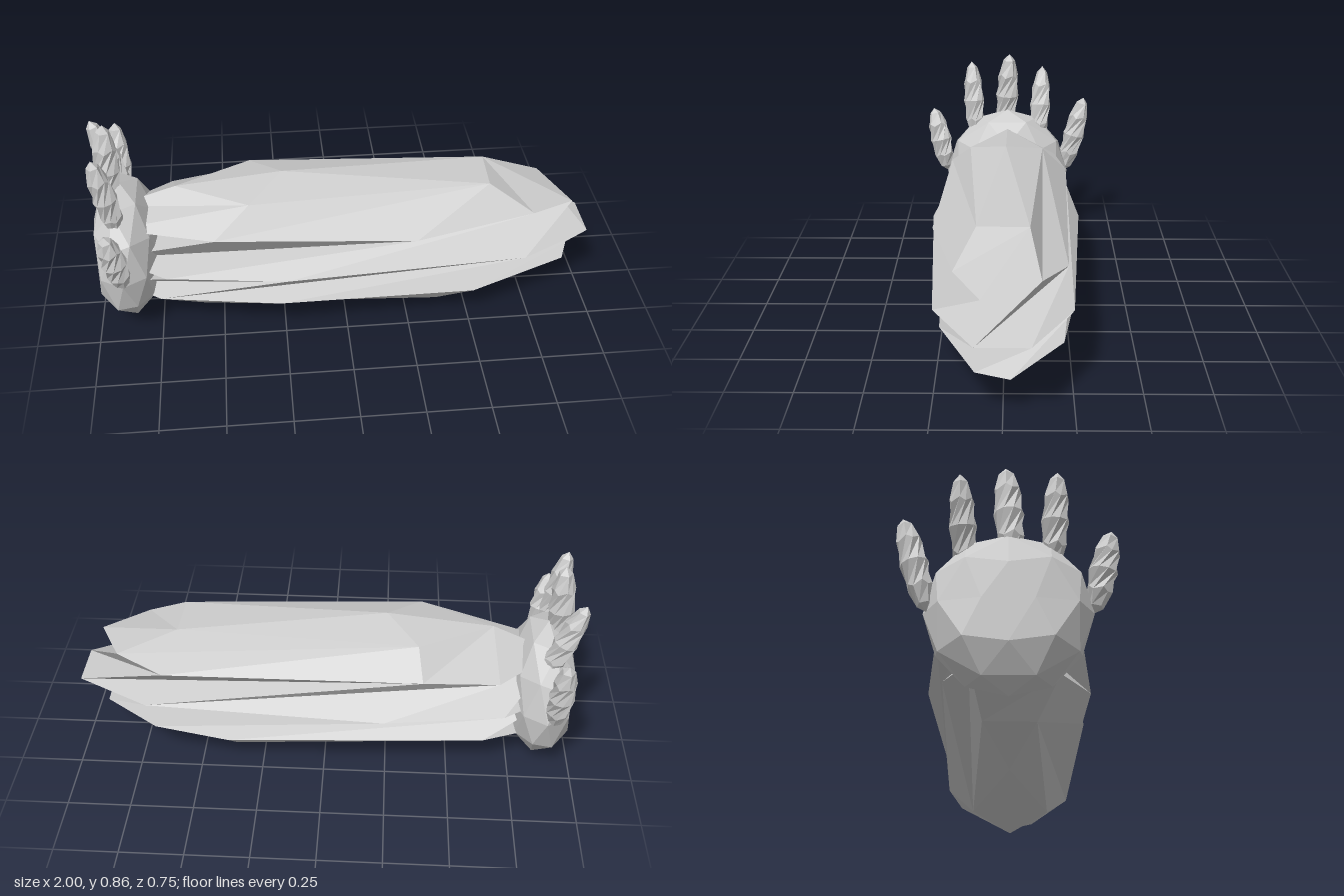
import * as THREE from 'three';

const material = new THREE.MeshStandardMaterial({ color: 0xcccccc, flatShading: true });

// Low-poly ball with a pole up, twisted around y, then each corner passed through a rule
function twistedBall(twist, offset, rule) {
  const geometry = new THREE.IcosahedronGeometry(1, 1);
  geometry.rotateZ(-Math.atan(2 / (1 + Math.sqrt(5))));
  geometry.rotateY(Math.PI);
  const pos = geometry.attributes.position;
  const v = new THREE.Vector3();
  for (let i = 0; i < pos.count; i++) {
    v.fromBufferAttribute(pos, i);
    const a = THREE.MathUtils.degToRad(offset + twist * v.y);
    v.set(
      v.x * Math.cos(a) - v.z * Math.sin(a),
      v.y,
      v.x * Math.sin(a) + v.z * Math.cos(a)
    );
    rule(v);
    pos.setXYZ(i, v.x, v.y, v.z);
  }
  geometry.computeVertexNormals();
  return geometry;
}

function addMesh(group, name, geometry) {
  const mesh = new THREE.Mesh(geometry, material);
  mesh.name = name;
  group.add(mesh);
  return mesh;
}

export function createModel() {
  const model = new THREE.Group();
  model.name = 'pawLimb';

  // Long limb: a twisted ball whose +x half is pulled outward
  addMesh(model, 'limb', twistedBall(-126, -108, (v) => {
    const pull = v.x > 0.01 ? 0.48 : 0;
    v.set(Math.max(-0.24 + 0.8 * v.x + pull, -0.94), 0.309 + 0.309 * v.y, 0.31 * v.z);
  }));

  // Palm: upright disc-like ball, flattened on its outer face
  addMesh(model, 'palm', twistedBall(0, 0, (v) => {
    v.set(Math.max(-0.875 + 0.15 * v.x, -0.99), 0.305 + 0.3 * v.y, 0.285 * v.z);
  }));

  // Fingers: tip and base positions with radius
  const fingers = [
    ['thumb', [-0.91, 0.602, 0.348], [-0.87, 0.31, 0.285], 0.05],
    ['firstFinger', [-0.945, 0.82, 0.168], [-0.88, 0.46, 0.148], 0.048],
    ['middleFinger', [-0.91, 0.863, -0.01], [-0.92, 0.47, 0.012], 0.053],
    ['ringFinger', [-0.98, 0.79, -0.165], [-0.86, 0.44, -0.145], 0.048],
    ['littleFinger', [-0.91, 0.655, -0.36], [-0.9, 0.3, -0.272], 0.05],
  ];
  const up = new THREE.Vector3(0, 1, 0);
  for (const [name, tipAt, baseAt, radius] of fingers) {
    const tip = new THREE.Vector3(...tipAt);
    const base = new THREE.Vector3(...baseAt);
    const half = tip.distanceTo(base) / 2;
    const finger = addMesh(model, name, twistedBall(-126, -108, (v) => {
      v.set(v.x * radius, v.y * half, v.z * radius);
    }));
    finger.position.copy(tip).add(base).multiplyScalar(0.5);
    finger.quaternion.setFromUnitVectors(up, tip.sub(base).normalize());
  }

  return model;
}
